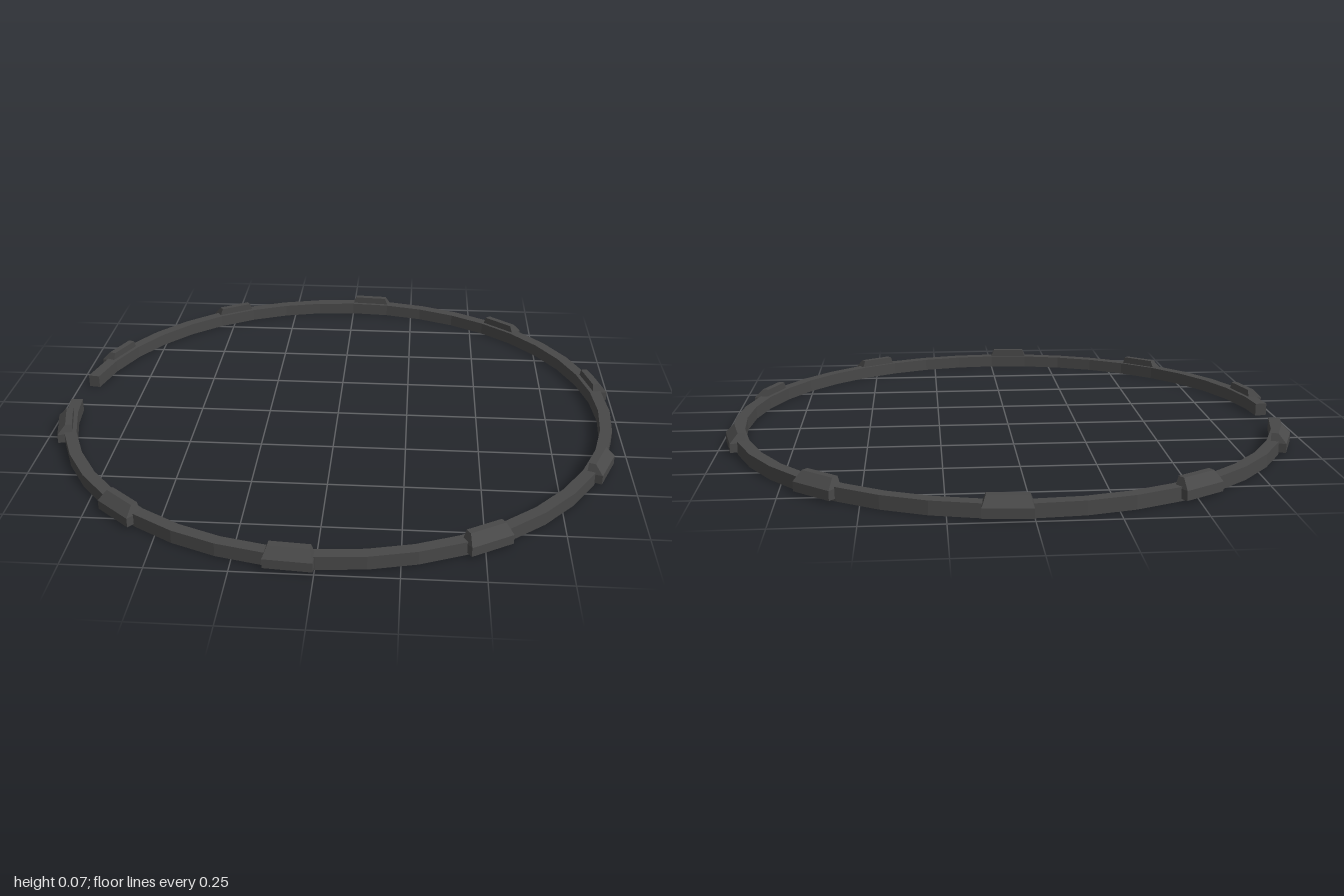
import * as THREE from 'three';
import { ConvexGeometry } from 'three/addons/geometries/ConvexGeometry.js';

const STEP = 9; // degrees per ring segment
const OUTER = 0.975, INNER = 0.934, HEIGHT = 0.045;

// Open ring: a faceted arc with a gap on the -x side
function ringGeometry() {
  const angles = [];
  for (let a = 279; a <= 621; a += STEP) angles.push(a);
  angles.push(627.3);
  const at = (r, deg) => {
    const a = THREE.MathUtils.degToRad(deg);
    return new THREE.Vector2(r * Math.sin(a), r * Math.cos(a));
  };
  const outer = angles.map((a) => at(OUTER, a));
  const inner = angles.map((a) => at(INNER, a)).reverse();
  const geo = new THREE.ExtrudeGeometry(new THREE.Shape([...outer, ...inner]), {
    depth: HEIGHT, bevelEnabled: false,
  });
  return geo.rotateX(-Math.PI / 2);
}

// Lug: straight lower part, tapered ends and sloped outer side on top
function lugGeometry() {
  const levels = [ // y, inner distance, outer distance, half width
    [0.008, 0.945, 0.997, 0.075],
    [0.039, 0.945, 0.997, 0.075],
    [0.07, 0.945, 0.968, 0.063],
  ];
  const points = [];
  for (const [y, near, far, half] of levels)
    for (const d of [near, far])
      for (const s of [-1, 1]) points.push(new THREE.Vector3(s * half, y, -d));
  return new ConvexGeometry(points);
}

export function createModel() {
  const model = new THREE.Group();
  model.name = 'openRing';
  const darkGrey = new THREE.MeshStandardMaterial({ color: 0x484848, flatShading: true });
  darkGrey.name = 'darkGrey';

  const ring = new THREE.Mesh(ringGeometry(), darkGrey);
  ring.name = 'ringBand';
  model.add(ring);

  // Ten lugs, one on every fourth segment
  const lugGeo = lugGeometry();
  for (let i = 0; i < 10; i++) {
    const lug = new THREE.Mesh(lugGeo, darkGrey);
    lug.name = `lug${i + 1}`;
    lug.rotation.y = -THREE.MathUtils.degToRad(i * 4 * STEP + STEP / 2);
    model.add(lug);
  }
  return model;
}
